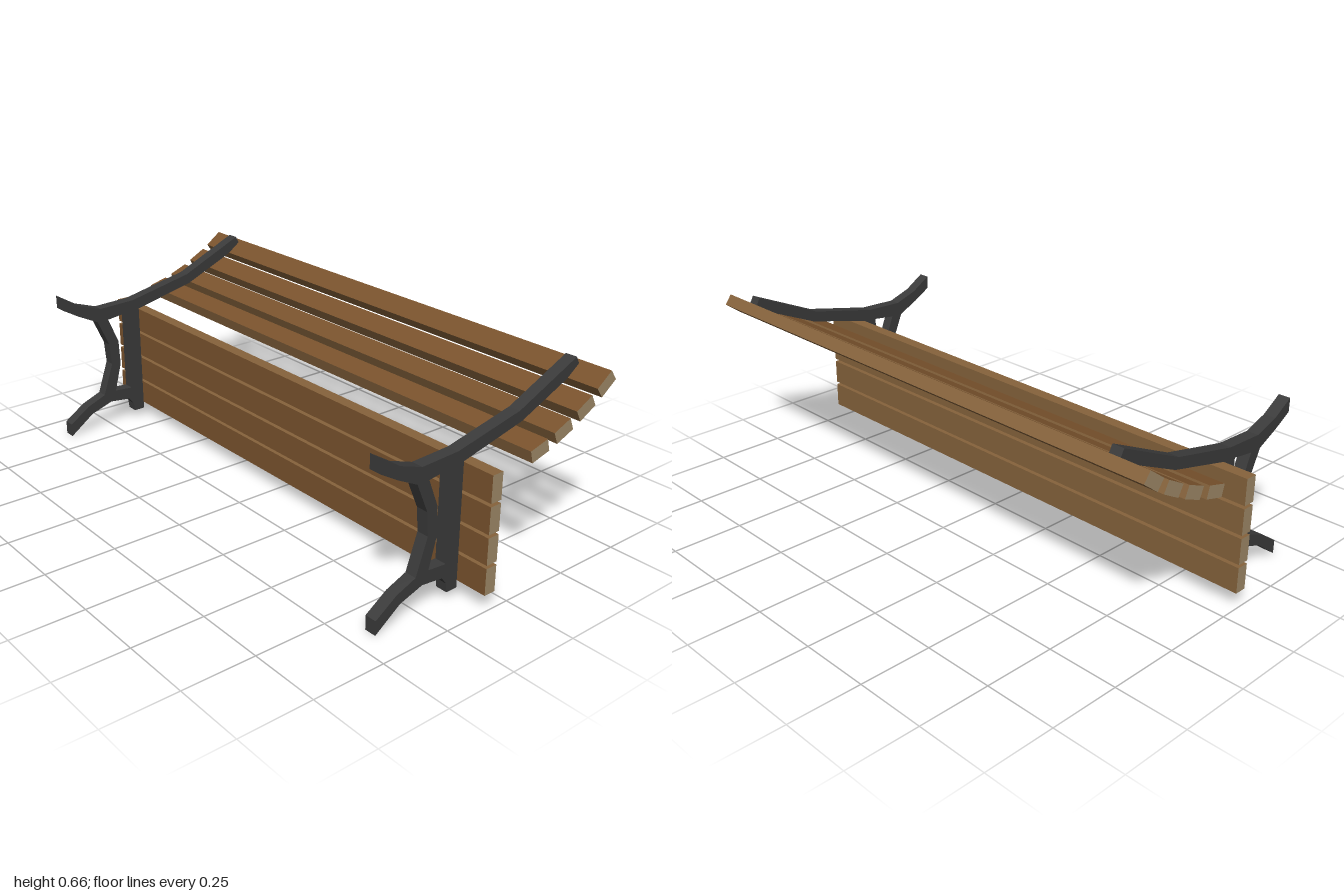
import * as THREE from 'three';

const material = (name, color) => {
  const m = new THREE.MeshStandardMaterial({ color });
  m.name = name;
  return m;
};

export function createModel() {
  const bench = new THREE.Group();
  bench.name = 'tippedBench';
  const iron = material('dark iron', 0x3b3b3b);
  const wood = material('brown wood', 0x7a532d);
  const worn = material('worn wood', 0x86633c);
  const endGrain = material('end grain', 0xa08a68);

  // Cast side frame: outline in (z, y), pierced between seat bar and leg brace
  const pts = (list) => list.map(([z, y]) => new THREE.Vector2(z, y));
  const outline = new THREE.Shape(pts([
    [0.428, 0.562], [0.355, 0.516], [0.268, 0.486], [0.126, 0.491], [-0.13, 0.546],
    [-0.375, 0.656], [-0.394, 0.62], [-0.341, 0.596], [-0.142, 0.509], [0.1, 0.452],
    [0.1, 0.031], [0.142, 0.031], [0.146, 0.063], [0.165, 0.088], [0.247, 0.097],
    [0.334, 0.068], [0.428, 0], [0.428, 0.049], [0.35, 0.102], [0.275, 0.132],
    [0.233, 0.253], [0.24, 0.335], [0.284, 0.436], [0.362, 0.475], [0.428, 0.514],
  ]));
  outline.holes.push(new THREE.Path(pts([
    [0.238, 0.436], [0.152, 0.447], [0.152, 0.132], [0.224, 0.138], [0.195, 0.246], [0.199, 0.34],
  ])));
  const frameGeometry = new THREE.ExtrudeGeometry(outline, { depth: 0.042, bevelEnabled: false });
  frameGeometry.translate(0, 0, -0.021).rotateY(-Math.PI / 2);
  for (const [side, x] of [['left', 0.867], ['right', -0.867]]) {
    const frame = new THREE.Mesh(frameGeometry, iron);
    frame.name = side + 'Frame';
    frame.position.x = x;
    bench.add(frame);
  }

  // Slats: the sitting side is local -z
  const slatMaterials = [endGrain, endGrain, worn, worn, wood, worn];
  const addSlat = (name, width, y, z, tilt) => {
    const slat = new THREE.Mesh(new THREE.BoxGeometry(2, width, 0.042), slatMaterials);
    slat.name = name;
    slat.position.set(0, y, z);
    slat.rotation.x = tilt;
    bench.add(slat);
  };

  // Seat slats stand upright in a row
  for (let i = 0; i < 4; i++) addSlat('seatSlat' + (i + 1), 0.09, 0.102 + i * 0.101, 0.079, 0);

  // Backrest slats follow the curved arm: z, y, slope in degrees
  [[-0.097, 0.466, 15], [-0.198, 0.5, 22], [-0.294, 0.546, 28], [-0.382, 0.601, 36]].forEach(([z, y, slope], i) =>
    addSlat('backSlat' + (i + 1), 0.074, y, z, THREE.MathUtils.degToRad(slope - 90)));

  return bench;
}
